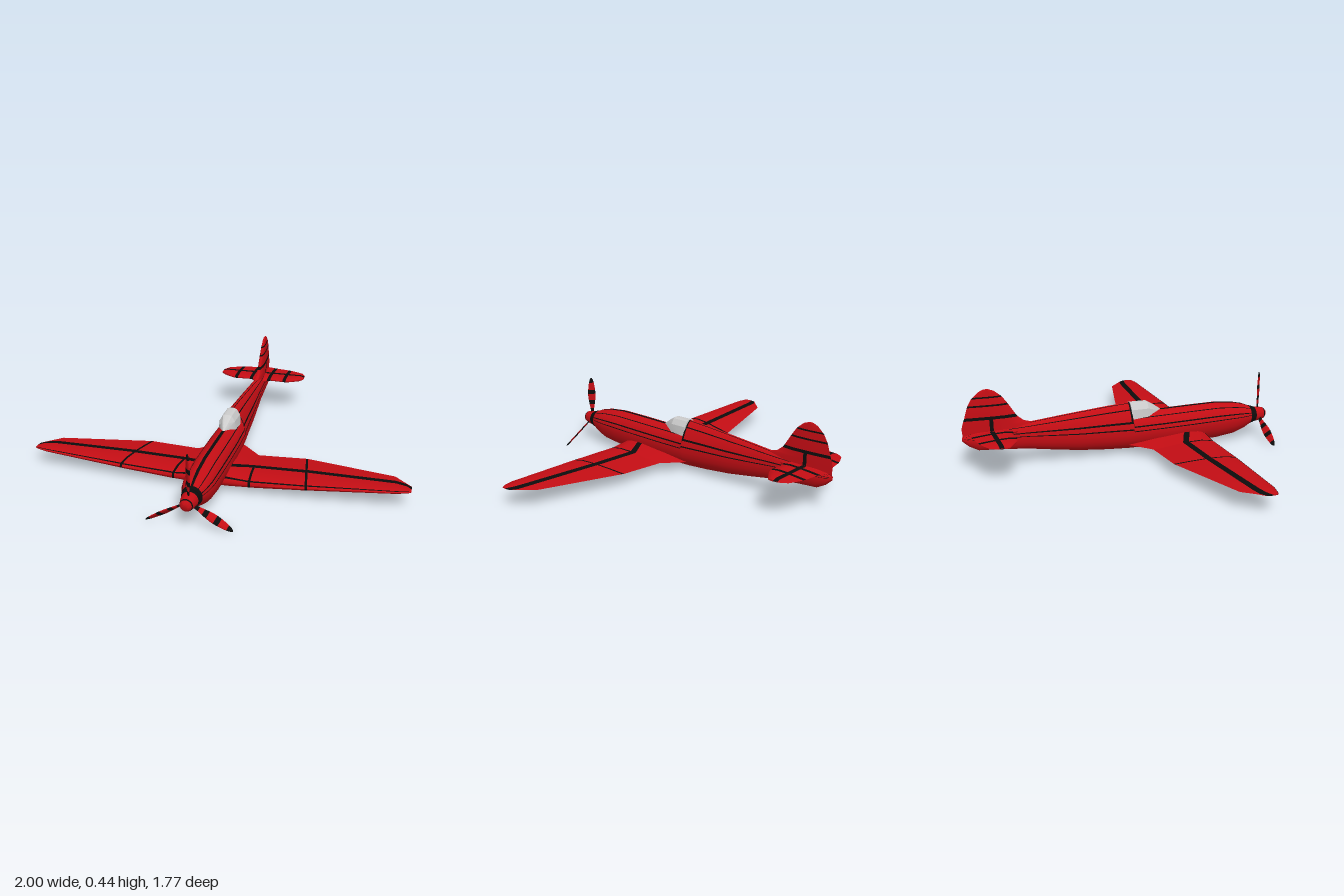
import * as THREE from 'three';
import { toCreasedNormals } from 'three/addons/utils/BufferGeometryUtils.js';

const RED = new THREE.MeshStandardMaterial({ color: 0xc40d14 });
const BLACK = new THREE.MeshStandardMaterial({ color: 0x0c0c0c });
const GREY = new THREE.MeshStandardMaterial({ color: 0xcccccc });
const rad = THREE.MathUtils.degToRad;

// Closed loft through rings of Vector3; black(row, column) picks the striped faces.
function skin(name, rings, black, base = RED, crease = 0.75) {
  const centre = (r) => {
    const c = r.reduce((s, p) => s.add(p), new THREE.Vector3()).divideScalar(r.length);
    return r.map(() => c);
  };
  const last = rings.length - 1;
  const rows = [centre(rings[0]), ...rings, centre(rings[last])];
  const tris = [], flags = [];
  let volume = 0;
  const ref = rings[0][0];
  const tri = (a, b, c, flag) => {
    const u = b.clone().sub(a), v = c.clone().sub(a), n = u.cross(v);
    if (n.length() < 1e-10) return;
    volume += n.dot(a.clone().sub(ref));
    tris.push([a, b, c]);
    flags.push(flag);
  };
  for (let i = 0; i < rows.length - 1; i++) {
    const n = rows[i].length;
    for (let j = 0; j < n; j++) {
      const k = (j + 1) % n;
      const flag = !!black(THREE.MathUtils.clamp(i - 1, 0, last - 1), j);
      tri(rows[i][j], rows[i + 1][j], rows[i + 1][k], flag);
      tri(rows[i][j], rows[i + 1][k], rows[i][k], flag);
    }
  }
  // Keep every face pointing outwards, also on mirrored parts.
  if (volume < 0) tris.forEach((t) => t.reverse());
  const whole = toCreasedNormals(new THREE.BufferGeometry().setFromPoints(tris.flat()), crease);
  const group = new THREE.Group();
  group.name = name;
  for (const striped of [false, true]) {
    const geo = new THREE.BufferGeometry();
    for (const key of ['position', 'normal']) {
      const src = whole.getAttribute(key).array, out = [];
      flags.forEach((f, t) => { if (f === striped) out.push(...src.slice(t * 9, t * 9 + 9)); });
      geo.setAttribute(key, new THREE.Float32BufferAttribute(out, 3));
    }
    if (!geo.attributes.position.count) continue;
    const mesh = new THREE.Mesh(geo, striped ? BLACK : base);
    mesh.name = striped ? name + 'Stripes' : name + 'Skin';
    group.add(mesh);
  }
  return group;
}

// Body sections: [z, bottom, top, widest height, half width, ridge sharpness, stripe flag]
const HALF = [-90, -72, -54, -36, -18, 0, 9, 11.5, 22, 26, 38, 51, 54, 66, 76, 79, 84, 90];
const ANGLES = [...HALF, ...HALF.slice(1, -1).reverse().map((a) => 180 - a)];
function body(name, stations, lines) {
  const rings = stations.map(([z, bottom, top, mid, w, p]) => ANGLES.map((a) => {
    const c = Math.cos(rad(a)), s = Math.sin(rad(a));
    const x = w * Math.sign(c) * Math.abs(c) ** (s > 0 ? p : 1);
    return new THREE.Vector3(x, mid + s * (s > 0 ? top - mid : mid - bottom), z);
  }));
  return skin(name, rings, (i, j) => {
    let m = (ANGLES[j] + (ANGLES[j + 1] ?? 270)) / 2;
    if (m > 90) m = 180 - m;
    const [z, , , , , , flag] = stations[i];
    if (flag === 1 || (flag === 2 && m > 30)) return true;
    if (!lines) return false;
    if (m > 84) return z > 0.22;
    return (m > 9 && m < 11.5) || (m > 22 && m < 26) || (m > 51 && m < 54) || (m > 76 && m < 79 && z < 0.04);
  });
}

// Flying surfaces: [span at lead, span at trail, lead, trail, band or null, mid, half thickness, flag]
// Flag 1 stripes the whole chord, flag 2 only the part ahead of the band.
function foil(name, stations, bandHalf, rim, map) {
  const rings = stations.map(([s0, s1, lead, trail, band, mid, half]) => {
    const chord = lead - trail;
    const tb = band === null ? 0.5 : (lead - band) / chord;
    const b0 = THREE.MathUtils.clamp(tb - bandHalf / chord, 0.2, 0.9);
    const b1 = THREE.MathUtils.clamp(tb + bandHalf / chord, b0 + 0.03, 0.97);
    const ts = [0, 0.02, 0.04, b0 / 2, b0, b1, (b1 + 1) / 2, 1];
    const point = (t, side) => map(s0 + (s1 - s0) * t, lead - chord * t, mid + side * half * 4 * (Math.sqrt(t) - t));
    return [...ts.map((t) => point(t, 1)), ...ts.slice(1, -1).reverse().map((t) => point(t, -1))];
  });
  return skin(name, rings, (i, j) => {
    const [, , , , band, , , flag] = stations[i];
    const onBand = band !== null && (j === 4 || j === 9);
    const ahead = j < 4 || j > 9;
    return onBand || flag === 1 || (flag === 2 && ahead) || (rim && j === 1);
  }, RED, 1.0);
}

const FUSELAGE = [
  [0.795, 0.092, 0.19, 0.14, 0.049, 1, 1], [0.775, 0.088, 0.195, 0.14, 0.053, 1],
  [0.73, 0.063, 0.213, 0.139, 0.068, 1], [0.67, 0.043, 0.227, 0.138, 0.079, 1],
  [0.56, 0.03, 0.239, 0.135, 0.083, 1], [0.4, 0.028, 0.239, 0.132, 0.084, 1],
  [0.22, 0.028, 0.237, 0.13, 0.083, 1], [0.045, 0.032, 0.235, 0.128, 0.077, 1],
  [0.04, 0.032, 0.296, 0.128, 0.077, 1.6, 2], [0.03, 0.032, 0.296, 0.128, 0.076, 1.6],
  [-0.1, 0.04, 0.288, 0.133, 0.066, 1.5], [-0.256, 0.055, 0.275, 0.14, 0.056, 1.35],
  [-0.4, 0.077, 0.262, 0.152, 0.046, 1.2], [-0.54, 0.1, 0.248, 0.165, 0.036, 1],
  [-0.7, 0.116, 0.235, 0.176, 0.029, 1], [-0.8, 0.123, 0.225, 0.18, 0.024, 1],
  [-0.85, 0.15, 0.215, 0.185, 0.018, 1], [-0.885, 0.182, 0.205, 0.195, 0.005, 1],
];
const SPINNER = [
  [0.885, 0.124, 0.156, 0.14, 0.016, 1], [0.873, 0.11, 0.17, 0.14, 0.03, 1, 1],
  [0.866, 0.107, 0.173, 0.14, 0.033, 1], [0.835, 0.1, 0.18, 0.14, 0.04, 1],
  [0.812, 0.097, 0.183, 0.14, 0.043, 1, 1], [0.795, 0.094, 0.186, 0.14, 0.046, 1], [0.78, 0.094, 0.186, 0.14, 0.046, 1],
];
const WING = [
  [0, 0, 0.475, 0, 0.385, 0.07, 0.042], [0.085, 0.07, 0.475, 0.02, 0.352, 0.07, 0.04],
  [0.195, 0.17, 0.47, 0.118, 0.303, 0.068, 0.029, 2], [0.207, 0.182, 0.47, 0.118, 0.303, 0.068, 0.029],
  [0.484, 0.43, 0.463, 0.124, 0.306, 0.082, 0.022, 1], [0.496, 0.442, 0.462, 0.126, 0.306, 0.083, 0.022],
  [0.93, 0.91, 0.432, 0.255, 0.332, 0.105, 0.012], [0.985, 0.965, 0.418, 0.315, 0.345, 0.107, 0.008],
  [1, 1, 0.41, 0.35, 0.365, 0.107, 0.003],
];
const TAILPLANE = [
  [0, 0, -0.585, -0.85], [0.03, 0.03, -0.595, -0.85], [0.045, 0.045, -0.622, -0.845, 1], [0.065, 0.065, -0.63, -0.84],
  [0.14, 0.14, -0.626, -0.828, 1], [0.16, 0.16, -0.626, -0.823], [0.19, 0.19, -0.64, -0.812],
  [0.235, 0.235, -0.67, -0.79], [0.257, 0.257, -0.688, -0.755],
].map(([a, b, lead, trail, flag], i) => [a, b, lead, trail, -0.73, 0.215, i > 7 ? 0.004 : 0.011, flag]);
const FIN = [
  [0.19, -0.5, -0.88, -0.73], [0.25, -0.515, -0.885, -0.73], [0.262, -0.555, -0.882, -0.73],
  [0.289, -0.588, -0.874, null, 1], [0.305, -0.6, -0.868, null], [0.36, -0.635, -0.852, null, 1],
  [0.369, -0.641, -0.848, null], [0.405, -0.667, -0.828, null, 1], [0.413, -0.675, -0.82, null],
  [0.44, -0.708, -0.79, null], [0.451, -0.737, -0.765, null],
].map(([y, lead, trail, band, flag], i) => [y, y, lead, trail, band, 0, 0.02 - i * 0.0014, flag]);
const BLADE = [
  [0.02, 0.016, 1], [0.06, 0.022], [0.085, 0.031, 1], [0.11, 0.039], [0.135, 0.044], [0.15, 0.045, 1],
  [0.175, 0.042], [0.2, 0.036], [0.22, 0.029, 1], [0.238, 0.019, 1], [0.25, 0.006],
].map(([r, w, flag]) => [r, r, w / 2, -w / 2, null, 0, 0.004 * (w > 0.01 ? 1 : 0.4), flag]);

export function createModel() {
  const model = new THREE.Group();
  model.name = 'airplane';
  model.add(body('fuselage', FUSELAGE, true), body('spinner', SPINNER, false));

  // Faceted glass canopy
  const canopy = [[0.038, 0.05, 0.296], [0.137, 0.048, 0.294], [0.18, 0.03, 0.268], [0.222, 0.008, 0.238]];
  const base = 0.21;
  model.add(skin('canopy', canopy.map(([z, w, top]) => {
    const h = top - base;
    const side = [[1, 0], [0.88, 0.6], [0.5, 0.94], [0.2, 1]];
    return [...side, ...side.map(([x, y]) => [-x, y]).reverse()]
      .map(([x, y]) => new THREE.Vector3(x * w, base + y * h, z));
  }), () => false, GREY, 0.4));

  // Mirrored wings and tailplane halves
  for (const [side, s] of [['left', 1], ['right', -1]]) {
    const map = (span, z, y) => new THREE.Vector3(s * span, y, z);
    model.add(foil(side + 'Wing', WING, 0.017, true, map));
    model.add(foil(side + 'Tailplane', TAILPLANE, 0.012, false, map));
  }
  model.add(foil('fin', FIN, 0.01, false, (span, z, x) => new THREE.Vector3(x, span, z)));

  // Three pitched propeller blades
  const propeller = new THREE.Group();
  propeller.name = 'propeller';
  propeller.position.set(0, 0.14, 0.835);
  const k = Math.SQRT1_2;
  for (let i = 0; i < 3; i++) {
    const blade = foil('blade', BLADE, 0.003, false, (r, c, t) => new THREE.Vector3(k * (c - t), r, k * (c + t)));
    blade.rotation.z = (i * Math.PI * 2) / 3;
    propeller.add(blade);
  }
  model.add(propeller);
  return model;
}
